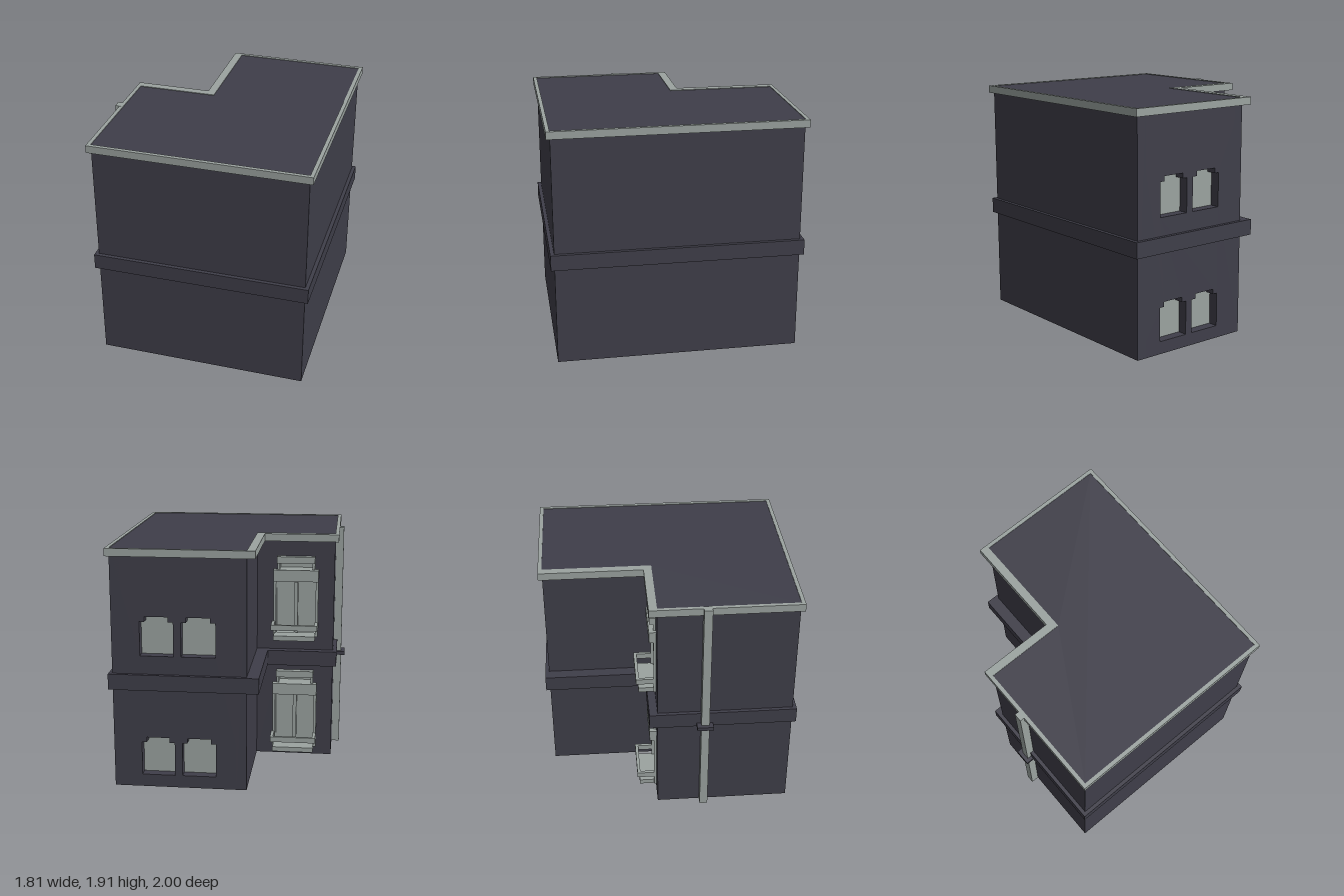
import * as THREE from 'three';

export function createModel() {
  const model = new THREE.Group();
  const dark = new THREE.MeshStandardMaterial({ color: 0x3f3e49 });
  dark.name = 'charcoal wall';
  const grey = new THREE.MeshStandardMaterial({ color: 0x9ba3a0 });
  grey.name = 'grey trim';

  function add(name, geometry, material, parent = model) {
    const mesh = new THREE.Mesh(geometry, material);
    mesh.name = name;
    parent.add(mesh);
    return mesh;
  }

  // Box given by its limits on each axis
  function box(name, x0, x1, y0, y1, z0, z1, material, parent) {
    const mesh = add(name, new THREE.BoxGeometry(x1 - x0, y1 - y0, z1 - z0), material, parent);
    mesh.position.set((x0 + x1) / 2, (y0 + y1) / 2, (z0 + z1) / 2);
    return mesh;
  }

  // L-shaped floor plan, with the notch at the back on the -x side
  function plan(x0, x1, z0, z1, nx, nz) {
    return [[x0, z1], [x1, z1], [x1, z0], [nx, z0], [nx, nz], [x0, nz]]
      .map(([x, z]) => new THREE.Vector2(x, -z));
  }

  function slab(name, outline, y0, y1, material, hole) {
    const shape = new THREE.Shape(outline);
    if (hole) shape.holes.push(new THREE.Path(hole));
    const g = new THREE.ExtrudeGeometry(shape, { depth: y1 - y0, bevelEnabled: false });
    g.rotateX(-Math.PI / 2);
    g.translate(0, y0, 0);
    return add(name, g, material);
  }

  // Opening with stepped upper corners
  function stepped(x0, x1, y0, y1, ys, step) {
    return [[x0, y0], [x1, y0], [x1, ys], [x1 - step, ys], [x1 - step, y1],
      [x0 + step, y1], [x0 + step, ys], [x0, ys]].map(([x, y]) => new THREE.Vector2(x, y));
  }

  // Upright plate with holes, extruded from z towards +z
  function upright(name, outline, holes, z, depth, material, parent) {
    const shape = new THREE.Shape(outline);
    for (const h of holes) shape.holes.push(new THREE.Path(h));
    const g = new THREE.ExtrudeGeometry(shape, { depth, bevelEnabled: false });
    g.translate(0, 0, z);
    return add(name, g, material, parent);
  }

  const rect = (x0, x1, y0, y1) =>
    [[x0, y0], [x1, y0], [x1, y1], [x0, y1]].map(([x, y]) => new THREE.Vector2(x, y));

  const X0 = -0.81, X1 = 0.87, Z0 = -0.97, Z1 = 0.97, NX = -0.175, NZ = -0.11;
  const top = 1.88, t = 0.08;
  const storeys = [0, 0.97];
  const wallPlan = plan(X0, X1, Z0, Z1, NX, NZ);

  // Plain walls
  box('frontWall', X0, X1, 0, top, Z1 - t, Z1, dark);
  box('rightWall', X1 - t, X1, 0, top, Z0, Z1, dark);
  box('leftWall', X0, X0 + t, 0, top, NZ, Z1, dark);
  box('notchSideWall', NX, NX + t, 0, top, Z0, NZ + t, dark);

  // Rear wall with recessed stepped windows
  const smallHoles = [];
  for (const y of storeys) {
    for (const [a, b] of [[0.39, 0.65], [0.065, 0.33]]) {
      smallHoles.push(stepped(a, b, y + 0.1, y + 0.41, y + 0.37, 0.04));
      box('rearWindowPane', a - 0.02, b + 0.02, y + 0.08, y + 0.43, Z0 + t, Z0 + t + 0.008, grey);
    }
  }
  upright('rearWall', rect(NX, X1, 0, top), smallHoles, Z0, t, dark);

  // Notch wall with tall balcony windows
  const tall = (y, m) =>
    stepped(-0.68 + m, -0.31 - m, y + 0.07 + m, y + 0.72 - m, y + 0.6 - m, 0.03);
  upright('notchRearWall', rect(X0, NX, 0, top), storeys.map(y => tall(y, 0)), NZ, t, dark);

  for (const y of storeys) {
    const w = new THREE.Group();
    w.name = 'balconyWindow';
    model.add(w);
    upright('windowFrame', tall(y, 0), [tall(y, 0.022)], -0.13, 0.13, grey, w);
    box('windowPane', -0.67, -0.32, y + 0.08, y + 0.7, -0.02, -0.012, grey, w);
    box('mullion', -0.51, -0.48, y + 0.09, y + 0.52, -0.09, -0.02, grey, w);
    box('crossbar', -0.68, -0.31, y + 0.54, y + 0.635, -0.165, -0.02, grey, w);
    box('topHood', -0.65, -0.34, y + 0.69, y + 0.745, -0.16, -0.1, grey, w);

    // Balcony floor and U-shaped rail
    box('balconyFloor', -0.66, -0.32, y + 0.06, y + 0.1, -0.25, NZ, grey, w);
    box('balconyFrontRail', -0.68, -0.3, y + 0.15, y + 0.195, -0.27, -0.245, grey, w);
    for (const x of [-0.68, -0.325]) {
      box('balconySideRail', x, x + 0.025, y + 0.15, y + 0.195, -0.246, NZ, grey, w);
    }
  }

  // Floor, storey band, roof and cornice
  slab('floor', wallPlan, 0, 0.02, dark);
  slab('storeyBand', plan(-0.84, 0.9, -1, 1, -0.27, -0.175), 0.8, 0.925, dark);
  slab('roof', wallPlan, 1.86, 1.9, dark);
  slab('cornice', plan(-0.84, 0.9, -1, 1, -0.24, -0.175), 1.845, 1.905, grey, wallPlan);

  // Downpipe with its bracket
  box('downpipe', -0.875, X0, 0, 1.906, 0.235, 0.3, grey);
  box('pipeBracket', -0.905, -0.83, 0.8, 0.83, 0.2, 0.33, dark);

  return model;
}
